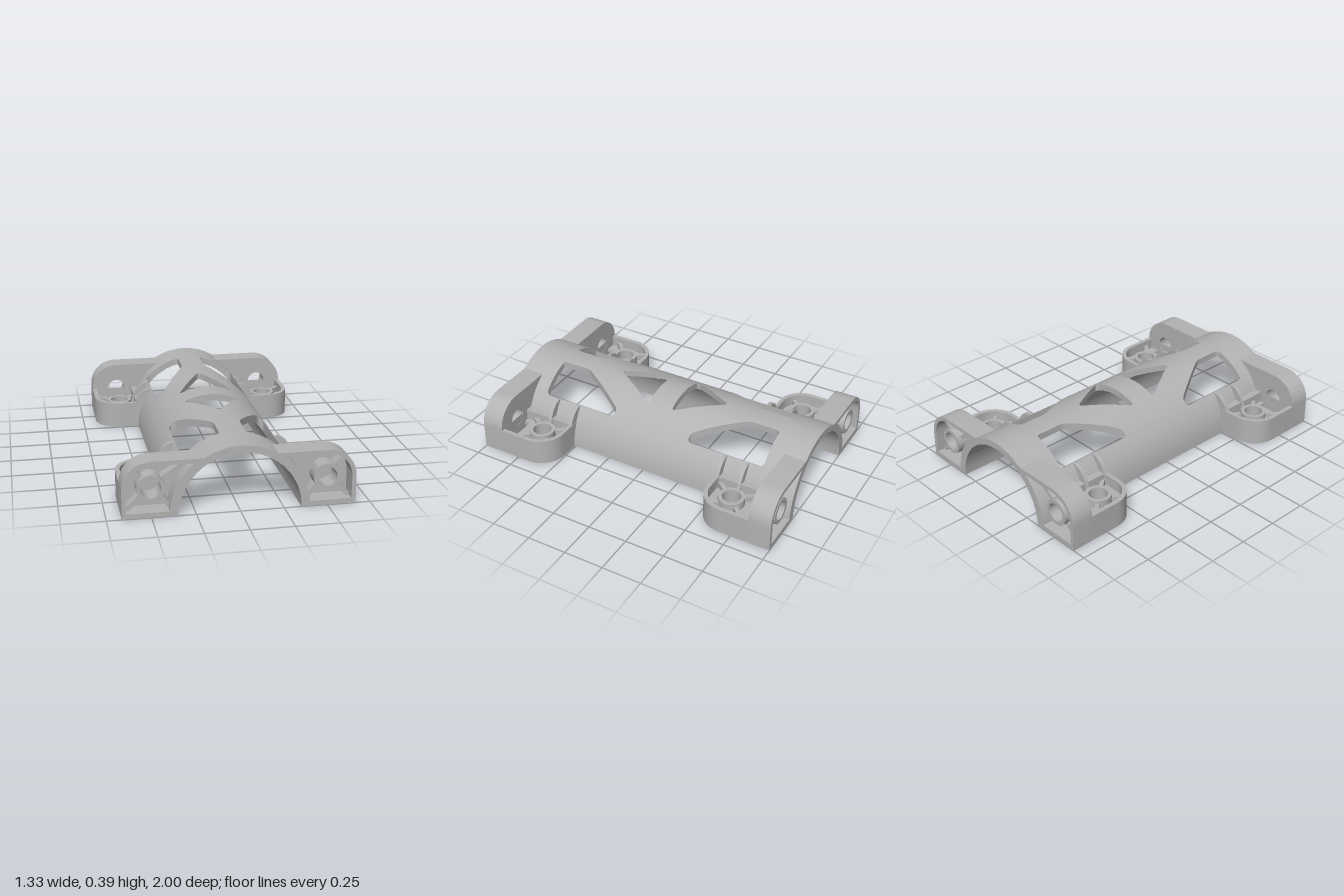
import * as THREE from 'three';
import { mergeGeometries, toCreasedNormals } from 'three/addons/utils/BufferGeometryUtils.js';

const R_OUT = 0.39, R_IN = 0.35, SIDE = 0.32;
const BOLT = 0.165; // corner radius and bolt height of the brackets

const V = (x, y) => new THREE.Vector2(x, y);

// points along a circular arc
function arc(cx, cy, r, a0, a1, n = 10) {
  return Array.from({ length: n + 1 }, (_, i) => {
    const a = a0 + (a1 - a0) * i / n;
    return V(cx + r * Math.cos(a), cy + r * Math.sin(a));
  });
}

// closed outline with softened corners
function rounded(points, r) {
  const path = new THREE.Path(), n = points.length;
  points.forEach((p, i) => {
    const prev = points[(i + n - 1) % n], next = points[(i + 1) % n];
    const a = p.clone().add(prev.clone().sub(p).setLength(Math.min(r, p.distanceTo(prev) / 2)));
    const b = p.clone().add(next.clone().sub(p).setLength(Math.min(r, p.distanceTo(next) / 2)));
    if (i) path.lineTo(a.x, a.y); else path.moveTo(a.x, a.y);
    path.quadraticCurveTo(p.x, p.y, b.x, b.y);
  });
  path.closePath();
  return path.getPoints(6);
}

// plate between z0 and z1, with holes
function plate(points, holes, z0, z1) {
  const shape = new THREE.Shape(points);
  shape.holes = holes.map(h => new THREE.Path(h));
  const g = new THREE.ExtrudeGeometry(shape, { depth: z1 - z0, bevelEnabled: false });
  g.translate(0, 0, z0);
  g.deleteAttribute('uv');
  return g;
}

// plate lying flat: outline in x and z, between heights y0 and y1
function flatPlate(points, holes, y0, y1) {
  return plate(points, holes, -y1, -y0).rotateX(Math.PI / 2);
}

// cut triangles along the plane x = c, so that the sheet can bend there
function splitAt(tris, c) {
  const out = [];
  for (const t of tris) for (const s of [-1, 1]) {
    const poly = [];
    t.forEach((p, i) => {
      const q = t[(i + 1) % 3], dp = s * (p.x - c), dq = s * (q.x - c);
      if (dp >= -1e-7) poly.push(p);
      if ((dp > 1e-7 && dq < -1e-7) || (dp < -1e-7 && dq > 1e-7)) poly.push(p.clone().lerp(q, dp / (dp - dq)));
    });
    if (poly.length < 3 || !poly.some(p => s * (p.x - c) > 1e-7)) {
      // triangles lying in the plane are kept once
      if (s < 0 || !t.every(p => Math.abs(p.x - c) < 1e-7)) continue;
    }
    for (let i = 1; i < poly.length - 1; i++) out.push([poly[0], poly[i], poly[i + 1]]);
  }
  return out;
}

// half-round tunnel with windows cut straight down through its crown
function tunnelGeometry() {
  const holes = [];
  for (const sz of [-1, 1]) {
    holes.push(rounded([V(0, 0.384 * sz), V(0.178, 0.08 * sz), V(-0.178, 0.08 * sz)], 0.035));
    for (const sx of [-1, 1]) {
      holes.push(rounded([[0.077, 0.77], [0.295, 0.77], [0.295, 0.262], [0.257, 0.262], [0.077, 0.575]]
        .map(([x, z]) => V(x * sx, z * sz)), 0.028));
    }
  }
  const crown = flatPlate([V(-SIDE, -1), V(SIDE, -1), V(SIDE, 1), V(-SIDE, 1)], holes, 0, 1);
  const pos = crown.attributes.position;
  let tris = [];
  for (let i = 0; i < pos.count; i += 3) {
    tris.push([0, 1, 2].map(k => new THREE.Vector3().fromBufferAttribute(pos, i + k)));
  }
  for (let k = -7; k <= 7; k++) tris = splitAt(tris, R_IN * Math.sin(k * Math.PI / 20));
  const bent = new THREE.BufferGeometry().setFromPoints(tris.flat().map(p => {
    const yo = Math.sqrt(R_OUT ** 2 - p.x ** 2), yi = Math.sqrt(R_IN ** 2 - p.x ** 2);
    return new THREE.Vector3(p.x, yi + (yo - yi) * p.y, p.z);
  }));
  // solid lower sides
  const section = [...arc(0, 0, R_OUT, 0, Math.acos(SIDE / R_OUT), 4), ...arc(0, 0, R_IN, Math.acos(SIDE / R_IN), 0, 4)];
  const sides = [1, -1].map(s => plate(section.map(p => V(p.x * s, p.y)), [], -1, 1));
  sides.forEach(g => g.deleteAttribute('normal'));
  return toCreasedNormals(mergeGeometries([bent, ...sides]), 0.38);
}

// rib box between two points of the x-y plane
function rib(ax, ay, bx, by, z0, z1, width = 0.026) {
  const d = V(bx - ax, by - ay), n = V(-d.y, d.x).setLength(width / 2);
  return plate([V(ax + n.x, ay + n.y), V(ax - n.x, ay - n.y), V(bx - n.x, by - n.y), V(bx + n.x, by + n.y)], [], z0, z1);
}

// boss ring and four ribs running from it to the pocket corners
function bossAndRibs(cx, cy, corners, b0, b1, r0, r1) {
  const parts = [plate(arc(cx, cy, 0.08, 0, 2 * Math.PI, 28).slice(0, -1), [hole(cx, cy)], b0, b1)];
  for (const [x, y] of corners) {
    const d = V(x - cx, y - cy).setLength(0.07);
    parts.push(rib(cx + d.x, cy + d.y, x, y, r0, r1));
  }
  return parts;
}

const hole = (cx, cy) => arc(cx, cy, 0.057, 0, 2 * Math.PI, 28).slice(0, -1);

// upright end flange: rim, back wall and pocket details
function flangeGeometry() {
  const outer = [V(0.37, 0), V(0.665, 0), ...arc(0.5, BOLT, 0.165, 0, Math.PI / 2), V(0.18, 0.33),
    ...arc(0, 0, 0.37, 1.06, 0.04, 12)];
  const pocket = [V(0.64, 0.03), ...arc(0.5, BOLT, 0.14, 0, Math.PI / 2),
    ...arc(0, 0, 0.4, Math.acos(0.26 / 0.4), 0.075, 12)];
  const corners = [[0.645, 0.025], [0.603, 0.268], [0.29, 0.305], [0.392, 0.045]];
  return mergeGeometries([
    plate(outer, [pocket], 0.89, 1),
    plate(outer, [hole(0.5, BOLT)], 0.86, 0.89),
    ...bossAndRibs(0.5, BOLT, corners, 0.885, 0.985, 0.885, 0.955),
  ]);
}

// flat foot with pockets above and below its web
function footGeometry() {
  const cz = 0.67;
  const outer = [V(0.352, 0.865), V(0.352, 0.508), ...arc(0.5, cz, 0.162, -Math.PI / 2, 0).map(p => V(p.x + 0.003, p.y)), V(0.665, 0.865)];
  const pocket = [V(0.4, 0.862), V(0.4, 0.532), ...arc(0.5, cz, 0.138, -Math.PI / 2, 0), V(0.638, 0.862)];
  const slot = [V(0.43, 0.82), V(0.57, 0.82), V(0.57, 0.86), V(0.43, 0.86)];
  const corners = [[0.395, 0.54], [0.603, 0.567], [0.642, 0.81], [0.395, 0.79]];
  const details = bossAndRibs(0.5, cz, corners, -0.145, -0.02, -0.13, -0.035).map(g => g.rotateX(Math.PI / 2));
  return mergeGeometries([
    flatPlate(outer, [pocket], 0, BOLT),
    flatPlate(outer, [slot, hole(0.5, cz)], 0.07, 0.095),
    ...details,
  ]);
}

// thin fins tying the foot to the tunnel
function finGeometry() {
  const fin = [V(0.35, 0.09), V(0.425, 0.09), V(0.41, 0.15), V(0.395, 0.19), V(0.372, 0.225), V(0.345, 0.247),
    V(0.318, 0.255), V(0.295, 0.255), V(0.31, 0.2)];
  return mergeGeometries([plate(fin, [], 0.51, 0.535), plate(fin, [], 0.662, 0.682)]);
}

// copy with signs on x and z, keeping faces outward
function mirrored(geometry, sx, sz) {
  const g = geometry.clone().scale(sx, 1, sz);
  if (sx * sz < 0) {
    for (const a of Object.values(g.attributes)) {
      for (let i = 0; i < a.count; i += 3) {
        const p = [a.getX(i + 1), a.getY(i + 1), a.getZ(i + 1)];
        a.setXYZ(i + 1, a.getX(i + 2), a.getY(i + 2), a.getZ(i + 2));
        a.setXYZ(i + 2, ...p);
      }
    }
  }
  return g;
}

export function createModel() {
  const model = new THREE.Group();
  model.name = 'tunnelBracket';
  const grey = new THREE.MeshStandardMaterial({ color: 0xb3b3b3 });
  grey.name = 'grey';
  const add = (parent, geometry, name) => {
    const mesh = new THREE.Mesh(geometry, grey);
    mesh.name = name;
    parent.add(mesh);
  };

  add(model, tunnelGeometry(), 'tunnel');
  const parts = { endFlange: flangeGeometry(), foot: footGeometry(), fins: finGeometry() };
  for (const sx of [1, -1]) for (const sz of [1, -1]) {
    const corner = new THREE.Group();
    corner.name = (sz > 0 ? 'front' : 'back') + (sx > 0 ? 'Left' : 'Right') + 'Mount';
    for (const [name, g] of Object.entries(parts)) {
      add(corner, mirrored(toCreasedNormals(g, 0.5), sx, sz), name);
    }
    model.add(corner);
  }
  return model;
}
